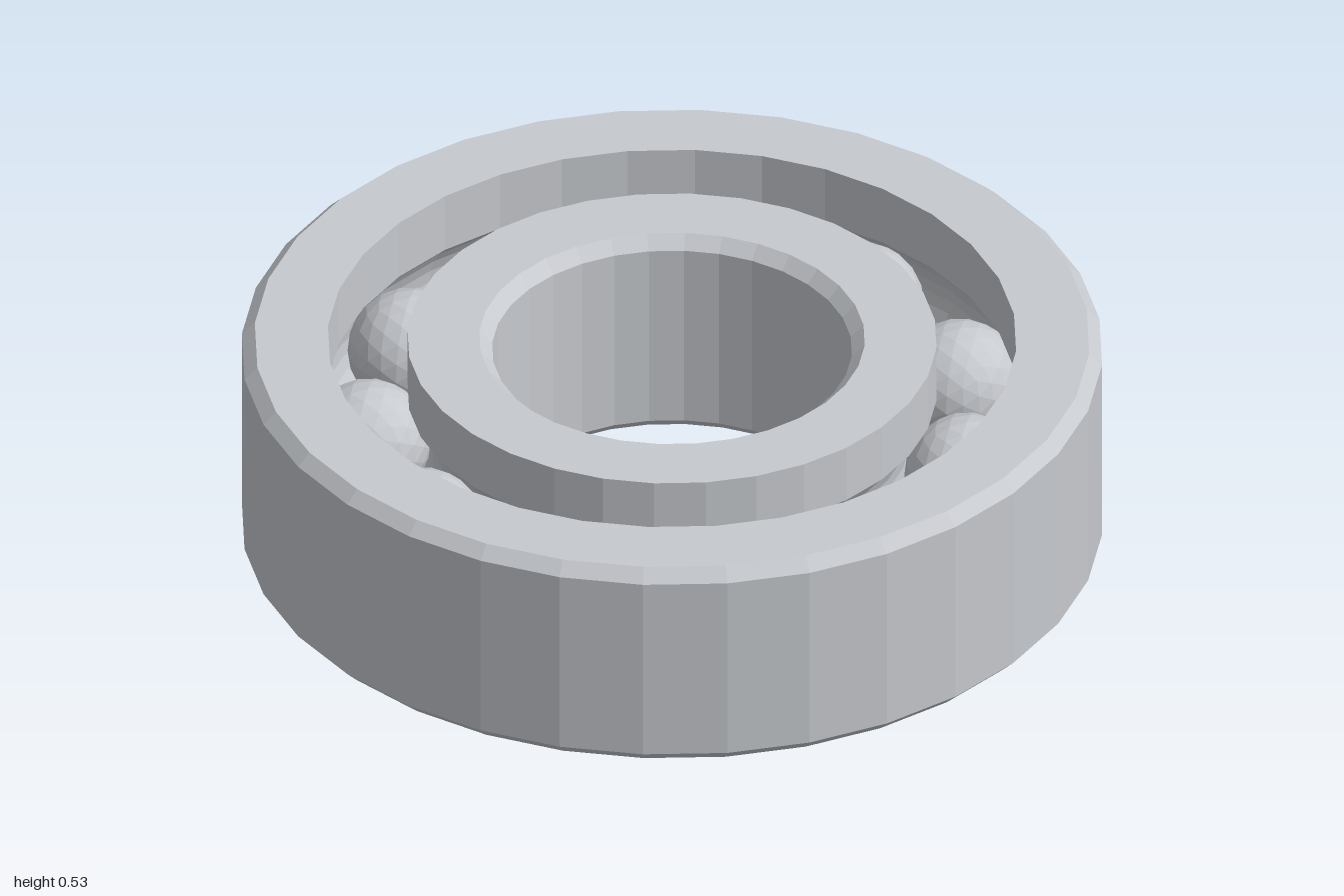
import * as THREE from 'three';

const HEIGHT = 0.53, MID = HEIGHT / 2, CHAMFER = 0.03;
const PITCH = 0.705, BALL_R = 0.145, GROOVE_R = 0.15;
const BALLS = 11, SIDES = 32;

// Groove arc from the wall at radius r, listed from low to high
function groove(r, steps = 8) {
  const dx = Math.abs(r - PITCH), side = Math.sign(r - PITCH);
  const half = Math.acos(dx / GROOVE_R);
  return Array.from({ length: steps + 1 }, (_, i) => {
    const a = -half + (2 * half * i) / steps;
    return [PITCH + side * GROOVE_R * Math.cos(a), MID + GROOVE_R * Math.sin(a)];
  });
}

// Closed ring turned from a counter-clockwise (radius, height) profile
function ring(name, profile, material) {
  const points = [...profile, profile[0]].map(([r, y]) => new THREE.Vector2(r, y));
  const mesh = new THREE.Mesh(new THREE.LatheGeometry(points, SIDES), material);
  mesh.name = name;
  return mesh;
}

export function createModel() {
  const model = new THREE.Group();
  model.name = 'ballBearing';
  const steel = new THREE.MeshStandardMaterial({ color: 0xc6c9ce, flatShading: true });
  steel.name = 'steel';

  // Outer ring: chamfered outside, ball groove inside
  model.add(ring('outerRing', [
    [0.8, 0], [1 - CHAMFER, 0], [1, CHAMFER], [1, HEIGHT - CHAMFER],
    [1 - CHAMFER, HEIGHT], [0.8, HEIGHT], ...groove(0.8).reverse(),
  ], steel));

  // Inner ring: ball groove outside, chamfered bore
  model.add(ring('innerRing', [
    [0.448, 0], [0.615, 0], ...groove(0.615), [0.615, HEIGHT],
    [0.448, HEIGHT], [0.418, HEIGHT - CHAMFER], [0.418, CHAMFER],
  ], steel));

  // Balls spaced evenly between the grooves
  const balls = new THREE.Group();
  balls.name = 'balls';
  const ballGeometry = new THREE.IcosahedronGeometry(BALL_R, 3);
  for (let i = 0; i < BALLS; i++) {
    const a = (i / BALLS) * Math.PI * 2;
    const ball = new THREE.Mesh(ballGeometry, steel);
    ball.name = `ball${i + 1}`;
    ball.position.set(PITCH * Math.cos(a), MID, PITCH * Math.sin(a));
    balls.add(ball);
  }
  model.add(balls);

  return model;
}
